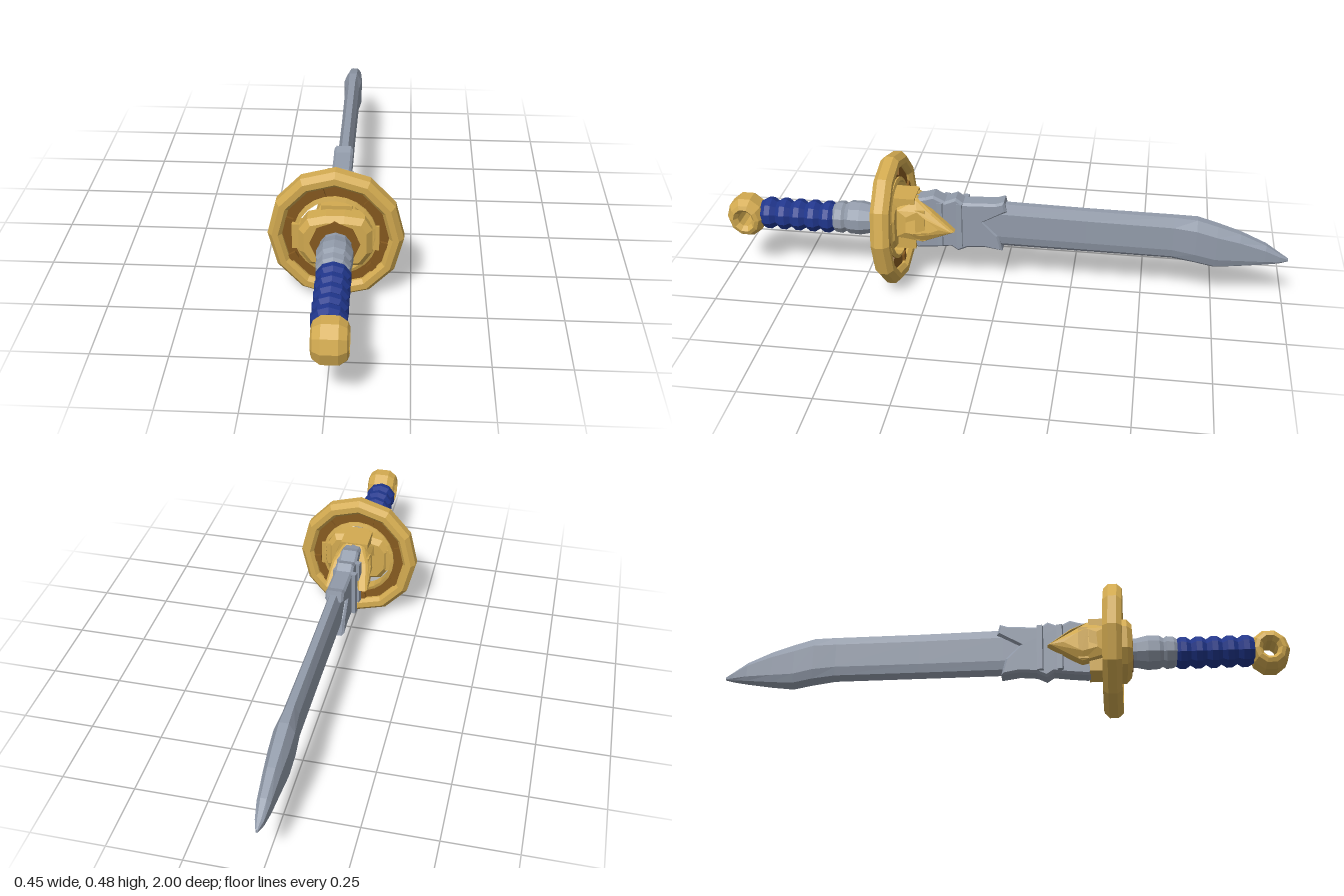
import * as THREE from 'three';

const mat = (name, color) => {
  const m = new THREE.MeshStandardMaterial({ color, flatShading: true });
  m.name = name;
  return m;
};

export function createModel() {
  const gold = mat('gold', 0xd2aa50);
  const bronze = mat('dark bronze', 0x85591f);
  const steel = mat('steel', 0x929baa);
  const blue = mat('blue wrap', 0x20368c);
  const sword = new THREE.Group();
  sword.name = 'sword';

  const add = (parent, name, geo, material, x = 0, y = 0, z = 0) => {
    const m = new THREE.Mesh(geo, material);
    m.name = name;
    m.position.set(x, y, z);
    parent.add(m);
    return m;
  };
  // Profile of [radius, z] pairs turned around the z axis
  const turned = (pts, sides) =>
    new THREE.LatheGeometry(pts.map(p => new THREE.Vector2(p[0], p[1])), sides).rotateX(Math.PI / 2);
  // Outline in [z, y], given a thickness along x and centred on x = 0
  const sidePlate = (pts, thick, bevel, hole) => {
    const shape = new THREE.Shape(pts.map(p => new THREE.Vector2(...p)));
    if (hole) shape.holes.push(new THREE.Path(hole.map(p => new THREE.Vector2(...p))));
    return new THREE.ExtrudeGeometry(shape, {
      depth: thick - 2 * bevel, bevelEnabled: bevel > 0, bevelThickness: bevel,
      bevelSize: bevel, bevelOffset: -bevel, bevelSegments: 1,
    }).translate(0, 0, bevel - thick / 2).rotateY(-Math.PI / 2);
  };

  // Blade: cross-sections [z, bottom, top, half thickness]
  const sections = [
    [0.36, 0.165, 0.335, 0.027], [0, 0.162, 0.335, 0.025], [-0.3, 0.161, 0.33, 0.025],
    [-0.6, 0.16, 0.328, 0.027], [-0.68, 0.148, 0.325, 0.034], [-0.75, 0.135, 0.305, 0.033],
    [-0.83, 0.145, 0.28, 0.028], [-0.92, 0.16, 0.241, 0.022], [-0.97, 0.17, 0.208, 0.014],
    [-1, 0.179, 0.19, 0.004],
  ];
  const ring = [[0, 0], [0.7, 0.1], [1, 0.28], [1, 0.8], [0.45, 1], [-0.45, 1], [-1, 0.8], [-1, 0.28], [-0.7, 0.1]];
  const pos = [], idx = [], n = ring.length;
  sections.forEach(([z, b, t, h], s) => {
    ring.forEach(([x, v]) => pos.push(x * h, b + v * (t - b), z));
    if (s) for (let i = 0; i < n; i++) {
      const a = (s - 1) * n + i, c = (s - 1) * n + (i + 1) % n;
      idx.push(a, c + n, c, a, a + n, c + n);
    }
  });
  const last = (sections.length - 1) * n;
  for (let i = 1; i < n - 1; i++) {
    idx.push(0, i, i + 1);
    idx.push(last, last + i + 1, last + i);
  }
  const bladeGeo = new THREE.BufferGeometry();
  bladeGeo.setAttribute('position', new THREE.Float32BufferAttribute(pos, 3));
  bladeGeo.setIndex(idx);
  bladeGeo.computeVertexNormals();
  add(sword, 'blade', bladeGeo, steel, 0.008);

  // Ragged steel sleeve over the base of the blade
  add(sword, 'bladeSleeve', sidePlate([
    [0.36, 0.17], [0.36, 0.33], [0.27, 0.347], [0.24, 0.357], [0.2, 0.336], [0.16, 0.353], [0.135, 0.335],
    [0.02, 0.34], [-0.01, 0.35], [-0.02, 0.31], [0.06, 0.265], [0.01, 0.215], [-0.005, 0.152], [0.06, 0.162],
    [0.12, 0.157], [0.155, 0.14], [0.18, 0.157], [0.23, 0.15], [0.3, 0.143],
  ].reverse(), 0.066, 0.008), steel, 0.005);
  for (const z of [0.21, 0.14]) {
    const clasp = add(sword, 'sleeveClasp', new THREE.BoxGeometry(0.088, 0.17, 0.02), steel, 0, 0.248, z);
    clasp.rotation.y = -0.2;
  }

  // Guard: thick rim, recessed web and inner lip, slightly oval and tilted
  const guard = new THREE.Group();
  guard.name = 'guard';
  guard.position.set(0, 0.241, 0.39);
  guard.rotation.set(0.035, -0.035, 0);
  sword.add(guard);
  const wheel = new THREE.Group();
  wheel.name = 'guardWheel';
  wheel.scale.set(0.92, 1, 1);
  guard.add(wheel);
  add(wheel, 'guardRim', turned([
    [0.19, -0.02], [0.203, -0.033], [0.225, -0.033], [0.242, -0.015], [0.242, 0.015],
    [0.225, 0.033], [0.203, 0.033], [0.19, 0.02], [0.19, -0.02],
  ], 12), gold);
  add(wheel, 'guardWeb', turned([
    [0.14, -0.012], [0.2, -0.012], [0.2, 0.012], [0.14, 0.012], [0.14, -0.012],
  ].map(([r, z]) => [r, z]), 24), bronze);
  add(wheel, 'guardLip', turned([
    [0.137, -0.022], [0.15, -0.018], [0.15, 0.018], [0.137, 0.022], [0.137, -0.022],
  ], 24), gold);
  for (const deg of [107, 47, -10, -42, -97, -150, 163]) {
    const a = deg * Math.PI / 180;
    const stud = add(wheel, 'guardStud', new THREE.BoxGeometry(0.034, 0.026, 0.042), bronze,
      0.176 * Math.cos(a), 0.176 * Math.sin(a), 0);
    stud.rotation.z = a;
  }

  // Hub: chamfered block that meets the ring on both sides
  const hub = new THREE.Shape([
    [-0.118, -0.04], [-0.085, -0.088], [-0.03, -0.096], [0.03, -0.096], [0.088, -0.088], [0.12, -0.04],
    [0.12, 0.045], [0.095, 0.086], [0.03, 0.094], [-0.03, 0.094], [-0.09, 0.08], [-0.118, 0.04],
  ].map(p => new THREE.Vector2(...p)));
  add(sword, 'hub', new THREE.ExtrudeGeometry(hub, {
    depth: 0.05, bevelThickness: 0.018, bevelSize: 0.018, bevelOffset: -0.018, bevelSegments: 1,
  }), gold, 0, 0.24, 0.386);
  add(sword, 'hubRecess', turned([[0.001, -0.004], [0.082, -0.004], [0.082, 0.004], [0.001, 0.004]], 8),
    bronze, 0, 0.24, 0.452);
  for (const s of [-1, 1])
    add(sword, 'hubStrut', new THREE.BoxGeometry(0.04, 0.09, 0.04), gold, s * 0.122, 0.24, 0.395);
  add(sword, 'hubCore', new THREE.BoxGeometry(0.1, 0.2, 0.09), gold, 0.002, 0.247, 0.35);
  add(sword, 'hubBand', new THREE.BoxGeometry(0.125, 0.12, 0.035), gold, 0.002, 0.25, 0.285);

  // Pointed cheek plates: raised frame over a thinner panel
  const outline = [[0.375, 0.2], [0.37, 0.31], [0.3, 0.345], [0.24, 0.305], [0.16, 0.24], [0.28, 0.178]].reverse();
  const inner = outline.map(([z, y]) => [0.285 + (z - 0.285) * 0.62, 0.258 + (y - 0.258) * 0.62]);
  for (const s of [-1, 1]) {
    const cheek = new THREE.Group();
    cheek.name = s > 0 ? 'leftCheek' : 'rightCheek';
    cheek.position.x = 0.003 + s * 0.062;
    sword.add(cheek);
    // Bow the plates outward between hub and tip
    const bow = geo => {
      const p = geo.attributes.position;
      for (let i = 0; i < p.count; i++)
        p.setX(i, p.getX(i) - s * 5 * Math.pow(Math.abs(p.getY(i) - 0.25), 2));
      geo.computeVertexNormals();
      return geo;
    };
    add(cheek, 'cheekFrame', bow(sidePlate(outline, 0.034, 0.006, inner)), gold);
    add(cheek, 'cheekPanel', bow(sidePlate(outline, 0.016, 0.004)), gold);
  }

  // Steel collar between hub and grip
  add(sword, 'collar', turned([
    [0.001, 0.43], [0.052, 0.43], [0.053, 0.47], [0.062, 0.51], [0.06, 0.55], [0.05, 0.566], [0.001, 0.566],
  ], 10), steel, 0.003, 0.232, 0);
  add(sword, 'collarRing', turned([
    [0.001, 0.56], [0.05, 0.562], [0.059, 0.575], [0.056, 0.6], [0.046, 0.613], [0.001, 0.613],
  ], 10), steel, 0.003, 0.23, 0);

  // Ridged grip
  const grip = [[0.001, 0.605]];
  for (let i = 0; i < 5; i++) {
    const z = 0.605 + i * 0.054;
    grip.push([0.046, z], [0.058, z + 0.018], [0.057, z + 0.038]);
  }
  grip.push([0.046, 0.878], [0.001, 0.878]);
  add(sword, 'grip', turned(grip, 10), blue, 0.006, 0.228, 0);

  // Pommel: faceted ring pierced from side to side
  const pommel = new THREE.LatheGeometry([
    [0.03, -0.04], [0.045, -0.056], [0.06, -0.05], [0.077, -0.026], [0.077, 0.026],
    [0.06, 0.05], [0.045, 0.056], [0.03, 0.04], [0.03, -0.04],
  ].map(p => new THREE.Vector2(...p)), 10).rotateZ(-Math.PI / 2);
  add(sword, 'pommel', pommel, gold, 0.015, 0.222, 0.932).scale.set(1, 1, 0.9);

  return sword;
}
